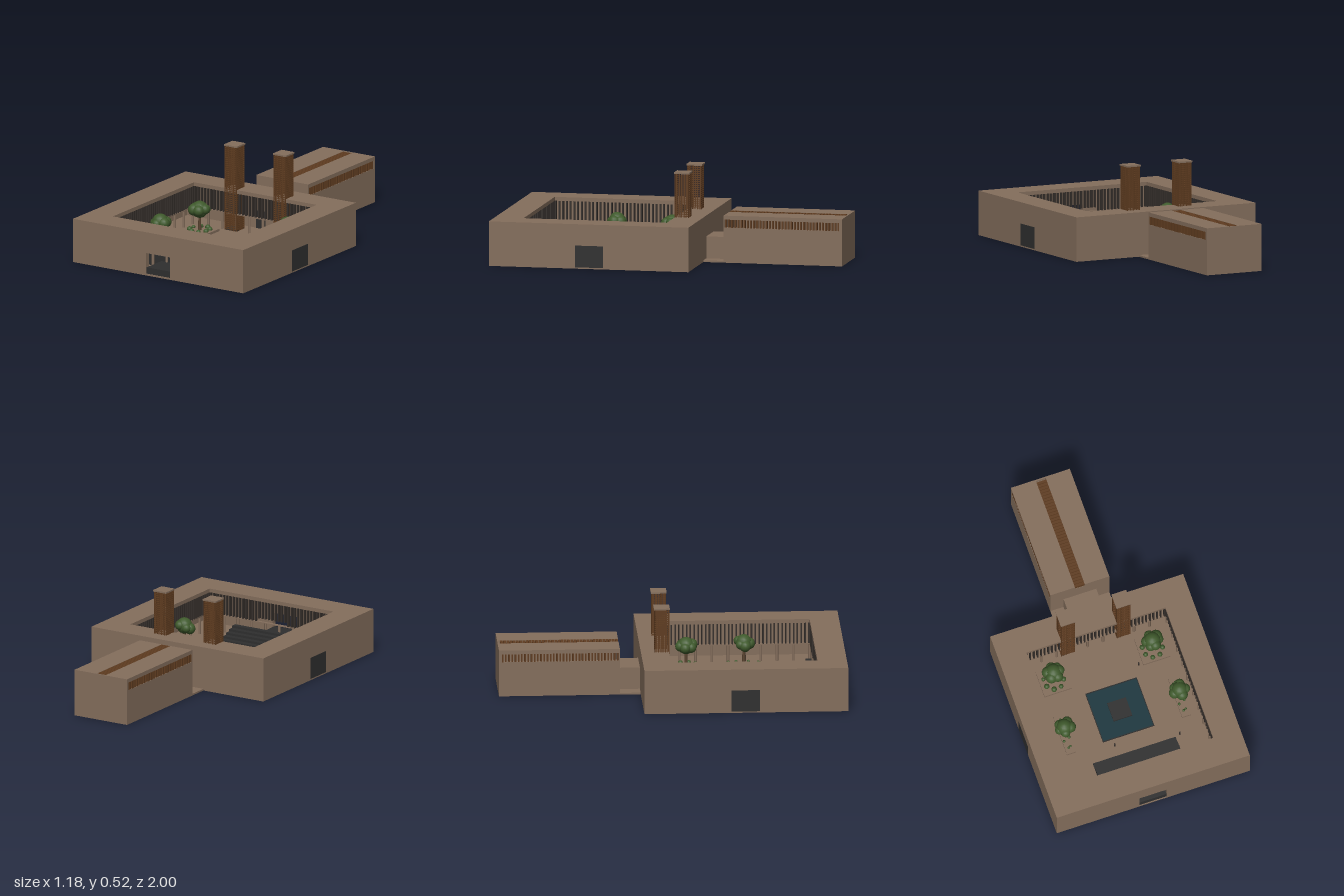
import * as THREE from 'three';
import { mergeGeometries } from 'three/addons/utils/BufferGeometryUtils.js';

const mat = (name, color) => {
  const m = new THREE.MeshStandardMaterial({ color });
  m.name = name;
  return m;
};

// box geometry from its extents
const boxGeo = (x0, x1, y0, y1, z0, z1) =>
  new THREE.BoxGeometry(x1 - x0, y1 - y0, z1 - z0).translate((x0 + x1) / 2, (y0 + y1) / 2, (z0 + z1) / 2);

export function createModel() {
  const root = new THREE.Group();
  root.name = 'courtyardBuilding';
  const earth = mat('earth brown', 0x846e5c);
  const wood = mat('warm wood', 0x5f3c20);
  const screenMat = mat('screen charcoal', 0x352f2b);
  const grey = mat('dark grey', 0x2f2f2f);
  const water = mat('water teal', 0x1b373e);
  const leaf = mat('leaf green', 0x3f5a2c);
  const bark = mat('bark', 0x5a4430);

  const add = (name, material, geos, parent = root) => {
    const mesh = new THREE.Mesh(Array.isArray(geos) ? mergeGeometries(geos) : geos, material);
    mesh.name = name;
    parent.add(mesh);
    return mesh;
  };

  // main block: floor, outer walls with a front doorway, ring roof
  const W = 0.59, ZB = -0.18, T = 0.03, RY = 0.238;
  const CX = 0.425, CB = -0.018, CF = 0.83;
  add('floor', earth, boxGeo(-W, W, 0, 0.01, ZB, 1));
  add('outerWalls', earth, [
    boxGeo(-W, -W + T, 0.01, RY, ZB, 1),
    boxGeo(W - T, W, 0.01, RY, ZB, 1),
    boxGeo(-W + T, W - T, 0.01, RY, ZB, ZB + T),
    boxGeo(-W + T, -0.083, 0.01, RY, 1 - T, 1),
    boxGeo(0.083, W - T, 0.01, RY, 1 - T, 1),
    boxGeo(-0.083, 0.083, 0.135, RY, 1 - T, 1),
  ]);
  const rect = (P, x0, x1, z0, z1) => {
    const s = new P();
    s.moveTo(x0, -z1).lineTo(x1, -z1).lineTo(x1, -z0).lineTo(x0, -z0).lineTo(x0, -z1);
    return s;
  };
  const roofShape = rect(THREE.Shape, -W, W, ZB, 1);
  roofShape.holes.push(rect(THREE.Path, -CX, CX, CB, CF));
  add('ringRoof', earth, new THREE.ExtrudeGeometry(roofShape, { depth: 0.26 - RY, bevelEnabled: false })
    .rotateX(-Math.PI / 2).translate(0, RY, 0));

  // entrance platform, inner door and side doors
  add('entrancePlatform', grey, boxGeo(-0.083, 0.083, 0.01, 0.048, 0.84, 0.995));
  add('innerDoor', grey, boxGeo(-0.08, -0.015, 0.01, 0.115, ZB + T, ZB + T + 0.004));
  for (const s of [-1, 1]) {
    add('sideDoor', grey, boxGeo(s * W - 0.001, s * W + 0.001, 0.008, 0.135, 0.325, 0.49));
  }

  // hanging slat screens around the courtyard, with columns beneath
  const slats = [], rails = [], columns = [];
  const S0 = 0.115, D = 0.018;
  for (let i = 0; i <= 38; i++) {
    const x = -CX + 0.004 + (i * (2 * CX - 0.008)) / 38;
    const z = CB + 0.004 + (i * (CF - CB - 0.008)) / 38;
    for (const s of [-1, 1]) {
      const xa = s * (CX + D / 2);
      slats.push(boxGeo(xa - D / 2, xa + D / 2, S0, RY, z - 0.004, z + 0.004));
    }
    // the screen leaves the entrance clear
    const low = Math.abs(x) < 0.09 ? 0.135 : S0;
    slats.push(boxGeo(x - 0.004, x + 0.004, low, RY, CF, CF + D));
    slats.push(boxGeo(x - 0.004, x + 0.004, S0, RY, CB - D, CB));
  }
  for (const s of [-1, 1]) {
    const xa = s * (CX + D / 2);
    rails.push(boxGeo(xa - D / 2, xa + D / 2, S0 - 0.006, S0, CB - D, CF + D));
  }
  rails.push(boxGeo(-CX, CX, S0 - 0.006, S0, CF, CF + D), boxGeo(-CX, CX, S0 - 0.006, S0, CB - D, CB));
  const column = (x, z) => columns.push(
    new THREE.CylinderGeometry(0.008, 0.008, S0 - 0.014, 10).translate(x, 0.01 + (S0 - 0.014) / 2, z));
  for (let i = 0; i <= 9; i++) {
    const t = i / 9;
    for (const s of [-1, 1]) column(s * (CX + D / 2), CB + t * (CF - CB));
    if (i > 0 && i < 9) {
      column(-CX + t * 2 * CX, CF + D / 2);
      column(-CX + t * 2 * CX, CB - D / 2);
    }
  }
  add('slatScreens', screenMat, slats);
  add('screenRails', earth, rails);
  add('columns', earth, columns);

  // stepped seating at the front of the courtyard
  const steps = [];
  for (let i = 0; i < 5; i++) {
    steps.push(boxGeo(-0.255, 0.25, 0.01, 0.022 + i * 0.013, 0.67 + i * 0.032, 0.67 + (i + 1) * 0.032));
  }
  add('steppedSeating', grey, steps);

  // pool with rim and island
  const PX = 0.153, P0 = 0.254, P1 = 0.559, R = 0.004;
  add('poolWater', water, boxGeo(-PX, PX, 0.002, 0.013, P0, P1));
  add('poolRim', grey, [
    boxGeo(-PX - R, -PX, 0.01, 0.02, P0 - R, P1 + R), boxGeo(PX, PX + R, 0.01, 0.02, P0 - R, P1 + R),
    boxGeo(-PX, PX, 0.01, 0.02, P0 - R, P0), boxGeo(-PX, PX, 0.01, 0.02, P1, P1 + R),
  ]);
  add('poolIsland', grey, boxGeo(-0.057, 0.057, 0.01, 0.024, 0.347, 0.463));

  // planters, trees and low shrubs
  let seed = 7;
  const rnd = () => (seed = (seed * 16807) % 2147483647) / 2147483647;
  const ball = (x, y, z, r) => new THREE.SphereGeometry(r, 14, 10).translate(x, y, z);
  const garden = (s, x, z, hx, hz, crown, puffs, shrubSize) => {
    const g = new THREE.Group();
    g.name = 'garden';
    root.add(g);
    add('planter', earth, boxGeo(s * x - hx, s * x + hx, 0.01, 0.024, z - hz, z + hz), g);
    add('treeTrunk', bark, new THREE.CylinderGeometry(0.007, 0.01, 0.12, 8).translate(s * x, 0.08, z), g);
    const crownBalls = [ball(s * x, 0.148, z, crown)];
    for (let i = 0; i < puffs; i++) {
      const a = (i / puffs) * Math.PI * 2 + rnd() * 0.5;
      const d = crown * 0.7;
      crownBalls.push(ball(s * x + Math.cos(a) * d, 0.13 + rnd() * 0.025, z + Math.sin(a) * d, crown * (0.55 + rnd() * 0.2)));
    }
    add('treeCrown', leaf, crownBalls, g);
    const shrubs = [];
    for (let i = 0; i < 8; i++) {
      const a = (i / 8) * Math.PI * 2 + 0.3;
      shrubs.push(ball(s * x + Math.cos(a) * hx * 0.7, 0.028, z + Math.sin(a) * hz * 0.75, shrubSize * (0.8 + rnd() * 0.4)));
    }
    add('shrubs', leaf, shrubs, g);
  };
  for (const s of [-1, 1]) {
    garden(s, 0.302, 0.108, 0.083, 0.083, 0.05, 6, 0.014);
    garden(s, 0.352, 0.445, 0.027, 0.125, 0.047, 5, 0.008);
  }

  // small standing figures
  for (const [x, z] of [[-0.1, 0.605], [0.28, 0.66], [-0.145, 0.775], [0.195, 0.18]]) {
    const y = z > 0.7 ? 0.06 : 0.01;
    add('figure', screenMat, [
      new THREE.CylinderGeometry(0.004, 0.005, 0.03, 8).translate(x, y + 0.015, z),
      new THREE.SphereGeometry(0.0045, 8, 6).translate(x, y + 0.034, z),
    ]);
  }

  // lattice towers
  for (const s of [-1, 1]) {
    const tower = new THREE.Group();
    tower.name = 'latticeTower';
    tower.position.set(s * 0.17, 0, -0.058);
    root.add(tower);
    const h = 0.04, b = 0.002, bars = [];
    for (let i = 0; i <= 8; i++) {
      const p = -h + (i * 2 * h) / 8;
      for (const f of [-h, h]) {
        bars.push(boxGeo(p - b, p + b, 0.01, 0.515, f - b, f + b));
        bars.push(boxGeo(f - b, f + b, 0.01, 0.515, p - b, p + b));
      }
    }
    for (let y = 0.02; y < 0.515; y += 0.0118) {
      for (const f of [-h, h]) {
        bars.push(boxGeo(-h, h, y - b, y + b, f - b, f + b));
        bars.push(boxGeo(f - b, f + b, y - b, y + b, -h, h));
      }
    }
    add('lattice', wood, bars, tower);
    add('towerCap', earth, boxGeo(-0.045, 0.045, 0.514, 0.523, -0.047, 0.045), tower);
    add('towerBase', grey, boxGeo(-h, h, 0.01, 0.02, -h, h), tower);
  }

  // low link between the two blocks, on a wider slab
  add('linkSlab', earth, boxGeo(-0.18, 0.18, 0, 0.01, -0.3, ZB));
  add('link', earth, boxGeo(-0.1, 0.1, 0.01, 0.138, -0.3, ZB));

  // rear hall: walls, clerestory strip and split roof
  const HX = 0.18, HB = -1, HF = -0.3, C0 = 0.205, C1 = 0.252;
  add('hallFloor', earth, boxGeo(-HX, HX, 0, 0.01, HB, HF));
  const hall = [
    boxGeo(-HX, HX, 0.01, C1, HB, HB + 0.018),
    boxGeo(-HX, HX, 0.01, C1, HF - 0.006, HF),
    boxGeo(-0.03, 0.03, C1, 0.275, HB, HB + 0.008),
  ];
  const fins = [], louvres = [];
  for (const s of [-1, 1]) {
    const xa = s * (HX - 0.01);
    hall.push(boxGeo(xa - 0.01, xa + 0.01, 0.01, C0, HB + 0.018, HF - 0.006));
    hall.push(boxGeo(Math.min(s * HX, s * 0.03), Math.max(s * HX, s * 0.03), C1, 0.275, HB, HF));
    for (let i = 0; i < 37; i++) {
      const z = -0.978 + i * 0.0185;
      fins.push(boxGeo(xa - 0.009, xa + 0.009, C0, C1, z - 0.0045, z + 0.0045));
    }
  }
  for (let i = 0; i < 37; i++) {
    const z = -0.9755 + i * 0.0185;
    louvres.push(boxGeo(-0.03, 0.03, C1, 0.274, z - 0.0075, z + 0.0075));
  }
  add('hallShell', earth, hall);
  add('clerestoryFins', wood, fins);
  add('skylightLouvres', wood, louvres);
  add('hallPlinth', grey, boxGeo(-0.025, 0.025, 0.01, 0.06, -0.92, -0.88));

  return root;
}
